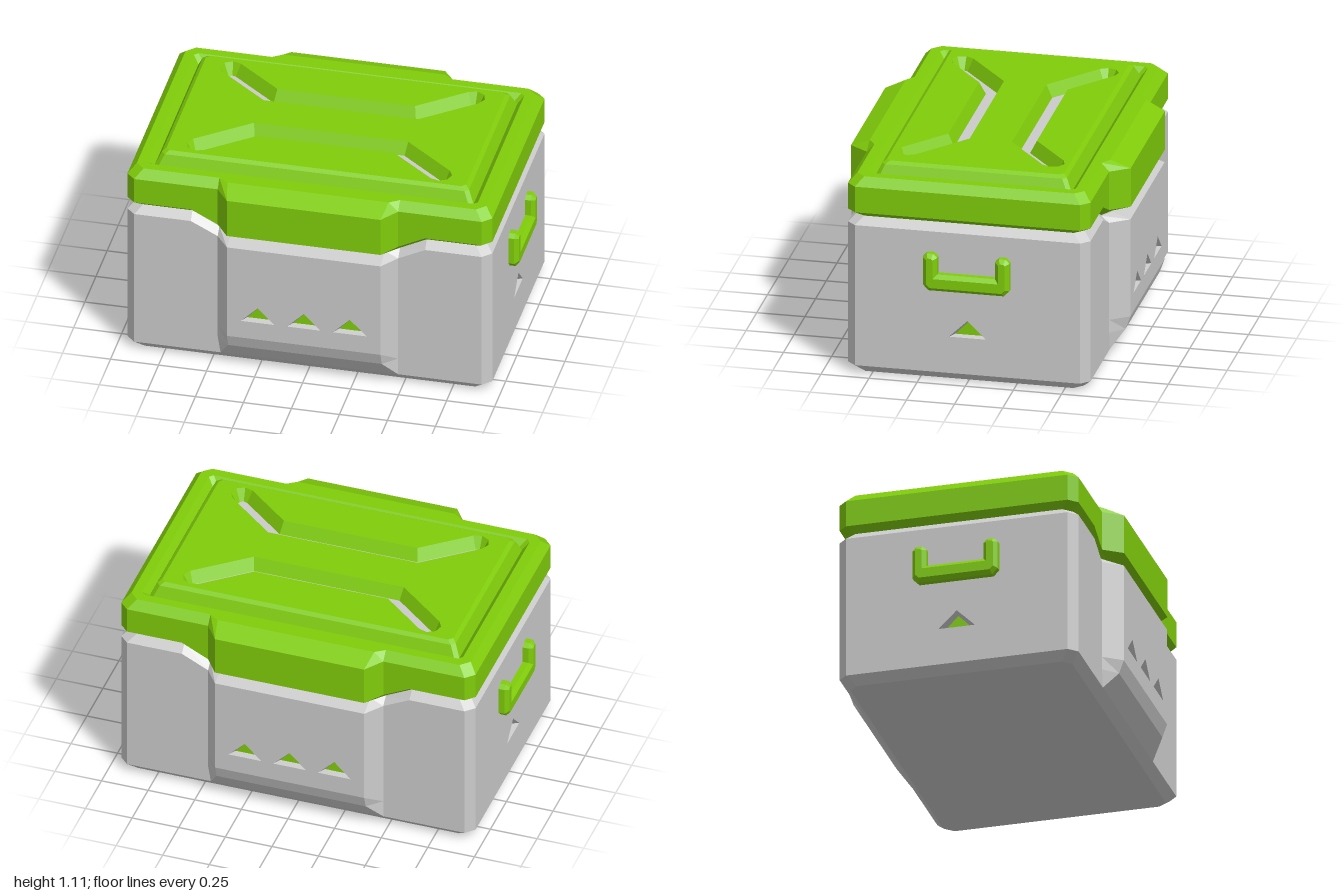
import * as THREE from 'three';

const grey = new THREE.MeshStandardMaterial({ color: 0xcccccc, flatShading: true });
const green = new THREE.MeshStandardMaterial({ color: 0x80cc0a, flatShading: true });

function add(parent, name, geometry, material) {
  const mesh = new THREE.Mesh(geometry, material);
  mesh.name = name;
  parent.add(mesh);
  return mesh;
}

// Skin between successive rings of points; skip(i, j) leaves a quad open.
function loft(rings, skip = () => false) {
  const pos = [];
  for (let i = 0; i < rings.length - 1; i++) {
    const n = rings[i].length;
    for (let j = 0; j < n; j++) {
      if (skip(i, j)) continue;
      const k = (j + 1) % n;
      const [a, b, c, d] = [rings[i][j], rings[i][k], rings[i + 1][k], rings[i + 1][j]];
      for (const p of [a, d, c, a, c, b]) pos.push(p.x, p.y, p.z);
    }
  }
  const g = new THREE.BufferGeometry();
  g.setAttribute('position', new THREE.Float32BufferAttribute(pos, 3));
  g.computeVertexNormals();
  return g;
}

// Chamfered rectangle with a bulge (half width xin, depth zb) on front and back.
// y is the height of the sides, low the height of the bulge points.
function ring(y, hx, hz, { low = y, zb = hz, xin = 0.4, c = 0.045 } = {}) {
  const half = [[hx, hz - c, y], [hx - c, hz, y], [0.61, hz, y], [0.47, hz, low], [xin, zb, low]];
  const front = half.map(([x, z, h]) => new THREE.Vector3(x, h, z));
  for (const [x, z, h] of [...half].reverse()) front.push(new THREE.Vector3(-x, h, z));
  return [...front, ...front.map(p => new THREE.Vector3(-p.x, p.y, -p.z))];
}

const flat = points => points.map(p => new THREE.Vector2(p.x, p.z));

// Outline of a thick, bent slot with rounded-off ends, in x and z.
function slotOutline(r, y, side) {
  const ex = 0.63, ez = 0.375, kx = 0.38, kz = 0.17;
  const a = Math.atan2(ez - kz, ex - kx);
  const miter = r * Math.tan(a / 2);
  const right = [[kx + miter, kz - r]];
  for (let i = 0; i <= 4; i++) {
    const t = a - Math.PI / 2 + i * Math.PI / 4;
    right.push([ex + r * Math.cos(t), ez + r * Math.sin(t)]);
  }
  right.push([kx - miter, kz + r]);
  const left = [...right].reverse().map(([x, z]) => [-x, z]);
  const pts = [...right, ...left].map(([x, z]) => new THREE.Vector3(x, y, side * z));
  return side > 0 ? pts : pts.reverse();
}

// Flat wall in the xy plane with sunken triangular windows.
function windowWall(name, w, y0, y1, xs, tri) {
  const group = new THREE.Group();
  group.name = name;
  const wall = new THREE.Shape([[-w, y0], [w, y0], [w, y1], [-w, y1]].map(p => new THREE.Vector2(...p)));
  const corners = (x, half, base, apex, z) =>
    [[x - half, base], [x, apex], [x + half, base]].map(([px, py]) => new THREE.Vector3(px, py, z));
  for (const x of xs) {
    const outer = corners(x, tri.half, tri.base, tri.apex, 0);
    const inner = corners(x, tri.half - 0.026, tri.base + 0.005, tri.apex - 0.016, -0.035);
    wall.holes.push(new THREE.Path(outer.map(p => new THREE.Vector2(p.x, p.y))));
    add(group, 'windowRim', loft([outer, inner]), grey);
    const pane = new THREE.ShapeGeometry(new THREE.Shape(inner.map(p => new THREE.Vector2(p.x, p.y))));
    add(group, 'windowPane', pane.translate(0, 0, -0.035), green);
  }
  add(group, 'wall', new THREE.ShapeGeometry(wall), grey);
  return group;
}

function handle() {
  const half = [[0.195, 0.5], [0.225, 0.53], [0.225, 0.68], [0.205, 0.7], [0.17, 0.7], [0.15, 0.68], [0.15, 0.59]];
  const pts = [...half, ...[...half].reverse().map(([x, y]) => [-x, y])];
  return new THREE.ExtrudeGeometry(new THREE.Shape(pts.map(p => new THREE.Vector2(...p))), {
    depth: 0.03, bevelEnabled: true, bevelThickness: 0.02, bevelSize: 0.02, bevelOffset: -0.02, bevelSegments: 1,
  });
}

export function createModel() {
  const model = new THREE.Group();
  model.name = 'storageCrate';

  // Body, left open where the window walls go
  const body = new THREE.Group();
  body.name = 'body';
  model.add(body);
  const bodyRings = [
    ring(0, 0.905, 0.585, { xin: 0.455 }),
    ring(0.045, 0.95, 0.63, { xin: 0.455 }),
    ring(0.14, 0.95, 0.63, { zb: 0.7 }),
    ring(0.21, 0.95, 0.63, { zb: 0.725 }),
    ring(0.81, 0.95, 0.63, { zb: 0.725, low: 0.74 }),
    ring(0.85, 0.91, 0.59, { zb: 0.63, low: 0.775 }),
    ring(0.95, 0.88, 0.56),
  ];
  const open = (i, j) => (j % 10 === 9 && i >= 1 && i <= 3) || (j % 10 === 4 && i === 3);
  add(body, 'bodyShell', loft(bodyRings, open), grey);
  add(body, 'bodyBottom', new THREE.ShapeGeometry(new THREE.Shape(flat(bodyRings[0]))).rotateX(Math.PI / 2), grey);

  // Window walls and handles, each repeated on the opposite side
  for (const s of [1, -1]) {
    const long = windowWall(s > 0 ? 'frontWall' : 'backWall', 0.4, 0.21, 0.74, [-0.24, 0, 0.24],
      { half: 0.088, base: 0.31, apex: 0.397 });
    long.position.z = s * 0.725;
    long.rotation.y = s > 0 ? 0 : Math.PI;
    const end = windowWall(s > 0 ? 'leftWall' : 'rightWall', 0.585, 0.045, 0.81, [0],
      { half: 0.096, base: 0.243, apex: 0.336 });
    end.position.x = s * 0.95;
    end.rotation.y = s * Math.PI / 2;
    add(end, s > 0 ? 'leftHandle' : 'rightHandle', handle(), green);
    body.add(long, end);
  }

  // Lid with skirt, rim groove and raised panel
  const lid = new THREE.Group();
  lid.name = 'lid';
  model.add(lid);
  const top = 1.11, floor = 1.045;
  const panelRing = ring(top, 0.78, 0.46, { c: 0.02 });
  add(lid, 'lidShell', loft([
    ring(0.85, 0.91, 0.59, { zb: 0.63, low: 0.78 }),
    ring(0.88, 0.95, 0.63, { zb: 0.727, low: 0.81 }),
    ring(1.02, 0.95, 0.63, { zb: 0.727 }),
    ring(1.065, 0.91, 0.59, { zb: 0.625, xin: 0.42 }),
    ring(1.065, 0.86, 0.54, { c: 0.02 }),
    ring(1.03, 0.83, 0.51, { c: 0.02 }),
    ring(1.095, 0.8, 0.48, { c: 0.02 }),
    panelRing,
  ]), green);

  // Panel top with two bent slots showing grey inside
  const panel = new THREE.Shape(flat(panelRing));
  for (const s of [1, -1]) {
    const upper = slotOutline(0.06, top, s), lower = slotOutline(0.027, floor, s);
    panel.holes.push(new THREE.Path(flat(upper)));
    add(lid, 'slotWall', loft([upper, lower]), green);
    const base = new THREE.ShapeGeometry(new THREE.Shape(flat(lower)));
    add(lid, 'slotFloor', base.rotateX(-Math.PI / 2).translate(0, floor, 0), grey);
  }
  add(lid, 'panelTop', new THREE.ShapeGeometry(panel).rotateX(-Math.PI / 2).translate(0, top, 0), green);

  return model;
}
